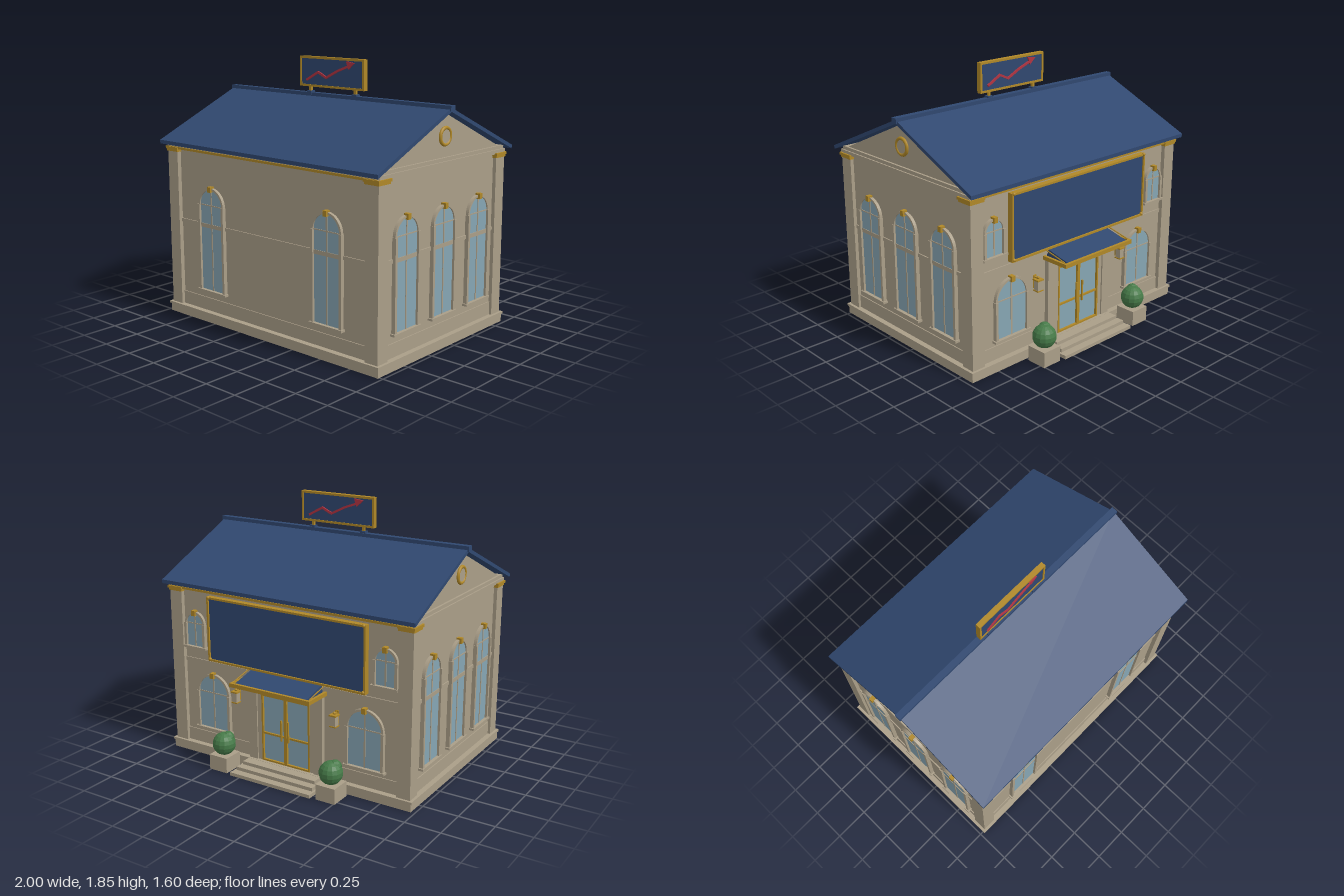
import * as THREE from 'three';

const mat = (name, color, flatShading = false) => {
  const m = new THREE.MeshStandardMaterial({ color, flatShading });
  m.name = name;
  return m;
};

export function createModel() {
  const stone = mat('stone', 0xaa9e88), blue = mat('navy', 0x304870), gold = mat('gold', 0xb08828);
  const glass = mat('glass', 0x86a5b3), red = mat('red', 0xb03442);
  const green = mat('leaf green', 0x467a48, true);
  const root = new THREE.Group();
  root.name = 'building';
  const C = 0.075; // z of the ridge and of the building's middle

  const add = (parent, name, geo, m, x = 0, y = 0, z = 0) => {
    const mesh = new THREE.Mesh(geo, m);
    mesh.name = name;
    mesh.position.set(x, y, z);
    parent.add(mesh);
    return mesh;
  };
  // box given by its limits
  const box = (p, name, m, x0, x1, y0, y1, z0, z1) =>
    add(p, name, new THREE.BoxGeometry(x1 - x0, y1 - y0, z1 - z0), m, (x0 + x1) / 2, (y0 + y1) / 2, (z0 + z1) / 2);
  const group = (name, parent = root) => {
    const g = new THREE.Group();
    g.name = name;
    parent.add(g);
    return g;
  };
  const polygon = pts => new THREE.Shape(pts.map(p => new THREE.Vector2(...p)));
  const extrude = (shape, depth) => new THREE.ExtrudeGeometry(shape, { depth, bevelEnabled: false, curveSegments: 16 });
  // prism along x from a (z, y) section
  const prismX = (pts, length) => extrude(polygon(pts), length).translate(0, 0, -length / 2).rotateY(-Math.PI / 2);
  // rectangular frame of bars
  const frame = (p, name, m, x0, x1, y0, y1, z0, z1, t) => {
    const s = polygon([[x0, y0], [x1, y0], [x1, y1], [x0, y1]]);
    s.holes.push(polygon([[x0 + t, y0 + t], [x0 + t, y1 - t], [x1 - t, y1 - t], [x1 - t, y0 + t]]));
    add(p, name, extrude(s, z1 - z0), m, 0, 0, z0);
  };

  // walls, plinth and mouldings
  box(root, 'plinth', stone, -0.972, 0.972, 0, 0.056, C - 0.69, C + 0.69);
  box(root, 'plinthCap', stone, -0.98, 0.98, 0.056, 0.072, C - 0.698, C + 0.698);
  box(root, 'walls', stone, -0.935, 0.935, 0.07, 1.23, C - 0.65, C + 0.65);
  box(root, 'dado', stone, -0.942, 0.942, 0.07, 0.165, C - 0.657, C + 0.657);
  box(root, 'stringCourse', stone, -0.943, 0.943, 0.68, 0.705, C - 0.658, C + 0.658);
  box(root, 'entablature', stone, -0.955, 0.955, 1.21, 1.265, C - 0.672, C + 0.672);
  box(root, 'corniceLip', stone, -0.965, 0.965, 1.222, 1.242, C - 0.682, C + 0.682);
  for (const s of [-1, 1]) {
    const z = C + s * 0.67;
    box(root, 'corniceStrip', gold, -0.95, 0.95, 1.205, 1.221, z - 0.014, z + 0.014);
    for (const t of [-1, 1]) {
      const px = t * 0.91, pz = C + s * 0.63;
      box(root, 'cornerPillar', stone, px - 0.05, px + 0.05, 0.07, 1.22, pz - 0.05, pz + 0.05);
      box(root, 'capital', gold, px - 0.056, px + 0.056, 1.185, 1.2, pz - 0.056, pz + 0.056);
      box(root, 'capitalTop', gold, px - 0.062, px + 0.062, 1.2, 1.218, pz - 0.062, pz + 0.062);
    }
  }

  // gable block and roof
  add(root, 'gable', prismX([[C - 0.63, 1.262], [C + 0.63, 1.262], [C, 1.548]], 1.88), stone);
  add(root, 'roof', prismX([[C - 0.725, 1.237], [C, 1.557], [C + 0.725, 1.237], [C + 0.725, 1.263],
    [C, 1.583], [C - 0.725, 1.263]], 1.98), blue);
  box(root, 'ridgeCap', blue, -1, 1, 1.562, 1.598, C - 0.022, C + 0.022);
  for (const s of [-1, 1]) {
    const o = group('gableRoundel');
    add(o, 'roundelRing', new THREE.TorusGeometry(0.054, 0.012, 8, 32), gold);
    add(o, 'roundelDisc', new THREE.CylinderGeometry(0.048, 0.048, 0.012, 32).rotateX(Math.PI / 2), stone);
    o.position.set(s * 0.945, 1.4, C);
    o.rotation.y = s * Math.PI / 2;
  }

  // arched window facing +z, standing on y0 with its arch springing at y1
  const arch = (r, y0, y1) => {
    const s = new THREE.Shape();
    s.moveTo(-r, y0);
    s.lineTo(r, y0);
    s.lineTo(r, y1);
    s.absarc(0, y1, r, 0, Math.PI, false);
    s.closePath();
    return s;
  };
  const archedWindow = (x, z, turn, r, y0, y1, bars) => {
    const w = group('archedWindow');
    add(w, 'pane', extrude(arch(r, y0, y1), 0.012), glass);
    const surround = arch(r + 0.015, y0, y1);
    surround.holes.push(arch(r, y0, y1));
    add(w, 'surround', extrude(surround, 0.022), stone);
    for (const s of [-1, 1])
      box(w, 'jamb', stone, s * (r + 0.009) - 0.01, s * (r + 0.009) + 0.01, y0, y1, 0, 0.028);
    box(w, 'sill', stone, -r - 0.03, r + 0.03, y0 - 0.015, y0, 0, 0.036);
    box(w, 'keystone', gold, -0.015, 0.015, y1 + r - 0.012, y1 + r + 0.026, 0, 0.036);
    box(w, 'mullion', stone, -0.005, 0.005, y0, y1 + r, 0.01, 0.016);
    for (const [y, t] of bars) box(w, 'glazingBar', stone, -r, r, y - t, y + t, 0.01, 0.016);
    w.position.set(x, 0, z);
    w.rotation.y = turn;
  };
  const tall = [[0.693, 0.014], [0.84, 0.004]];
  for (const s of [-1, 1]) {
    archedWindow(s * 0.535, C + 0.65, 0, 0.11, 0.23, 0.84, tall);
    for (const dz of [-0.39, 0, 0.39]) archedWindow(s * 0.935, C + dz, s * Math.PI / 2, 0.107, 0.23, 0.84, tall);
    archedWindow(s * 0.615, C - 0.65, Math.PI, 0.125, 0.21, 0.475, [[0.475, 0.004]]);
    archedWindow(s * 0.76, C - 0.65, Math.PI, 0.07, 0.8, 0.965, [[0.965, 0.004]]);
  }

  // entrance side, built facing +z and turned to the back
  const entry = group('entrance');
  entry.rotation.y = Math.PI;
  const W = 0.575; // wall plane
  box(entry, 'doorGlass', glass, -0.19, 0.19, 0.07, 0.62, W, W + 0.008);
  for (const s of [-1, 1]) {
    const a = Math.min(0, s * 0.195), b = a + 0.195;
    frame(entry, 'doorFrame', gold, a, b, 0.072, 0.56, W, W + 0.024, 0.012);
    box(entry, 'pushBar', gold, a + 0.01, b - 0.01, 0.27, 0.283, W, W + 0.02);
    box(entry, 'doorPull', gold, s * 0.028 - 0.005, s * 0.028 + 0.005, 0.25, 0.4, W + 0.024, W + 0.036);
    box(entry, 'doorPilaster', stone, s * 0.265 - 0.035, s * 0.265 + 0.035, 0.07, 0.64, W, W + 0.03);
    box(entry, 'doorJamb', stone, s * 0.212 - 0.018, s * 0.212 + 0.018, 0.07, 0.64, W, W + 0.02);
  }
  frame(entry, 'transomFrame', gold, -0.195, 0.195, 0.55, 0.63, W, W + 0.024, 0.01);
  [[0.325, 0.024, 0.8], [0.31, 0.048, 0.745], [0.295, 0.071, 0.69]].forEach(([x, y, z]) =>
    box(entry, 'step', stone, -x, x, 0, y, 0.5, z));

  // canopy: gold rim, flat soffit and sloping top
  for (const s of [-1, 1]) {
    box(entry, 'canopySide', gold, s * 0.31 - 0.01, s * 0.31 + 0.01, 0.643, 0.67, W, 0.785);
    const rod = new THREE.LineCurve3(new THREE.Vector3(s * 0.305, 0.71, 0.59), new THREE.Vector3(s * 0.305, 0.672, 0.76));
    add(entry, 'canopyRod', new THREE.TubeGeometry(rod, 1, 0.004, 6), gold);
  }
  box(entry, 'canopyFront', gold, -0.32, 0.32, 0.643, 0.67, 0.765, 0.785);
  box(entry, 'canopySoffit', blue, -0.3, 0.3, 0.648, 0.658, W, 0.766);
  add(entry, 'canopyTop', prismX([[W, 0.655], [0.766, 0.655], [0.766, 0.668], [W, 0.713]], 0.57), blue);

  // large fascia board with corner studs
  box(entry, 'fasciaBoard', blue, -0.62, 0.62, 0.73, 1.17, W, 0.606);
  frame(entry, 'fasciaFrame', gold, -0.63, 0.63, 0.722, 1.182, W, 0.617, 0.014);
  for (const x of [-0.615, 0.615]) for (const y of [0.737, 1.178])
    add(entry, 'stud', new THREE.SphereGeometry(0.012, 12, 8), gold, x, y, 0.615);

  for (const s of [-1, 1]) {
    // wall lantern
    const l = group('wallLantern', entry);
    l.position.set(s * 0.4, 0, 0.613);
    box(l, 'bracket', gold, -0.012, 0.012, 0.47, 0.56, -0.04, -0.03);
    box(l, 'bracketArm', gold, -0.006, 0.006, 0.54, 0.552, -0.04, 0);
    box(l, 'lanternBody', stone, -0.02, 0.02, 0.465, 0.535, -0.02, 0.02);
    box(l, 'lanternBase', gold, -0.024, 0.024, 0.458, 0.466, -0.024, 0.024);
    box(l, 'lanternCap', gold, -0.026, 0.026, 0.533, 0.543, -0.026, 0.026);
    add(l, 'finial', new THREE.SphereGeometry(0.01, 10, 8), gold, 0, 0.552, 0);
    // planter with clipped bush
    const p = group('planter', entry);
    p.position.set(s * 0.437, 0, 0.712);
    box(p, 'planterBox', stone, -0.073, 0.073, 0, 0.108, -0.075, 0.075);
    add(p, 'bush', new THREE.SphereGeometry(0.081, 14, 9), green, 0, 0.18, 0);
    add(p, 'bushTuft', new THREE.SphereGeometry(0.045, 10, 7), green, 0.02, 0.222, -0.018);
  }

  // roof sign with a rising arrow on both faces
  const sign = group('roofSign');
  sign.position.z = C + 0.003;
  box(sign, 'signPanel', blue, -0.28, 0.28, 1.65, 1.835, -0.013, 0.013);
  frame(sign, 'signFrame', gold, -0.292, 0.292, 1.638, 1.848, -0.018, 0.018, 0.015);
  for (const x of [-0.205, 0.205]) {
    box(sign, 'signPost', gold, x - 0.009, x + 0.009, 1.58, 1.645, -0.009, 0.009);
    box(sign, 'postFoot', blue, x - 0.02, x + 0.02, 1.58, 1.61, -0.02, 0.02);
  }
  const pts = [[-0.225, 1.685], [-0.12, 1.742], [-0.045, 1.708], [0.06, 1.76], [0.16, 1.797]];
  for (const turn of [0, Math.PI]) {
    const a = group('risingArrow', sign);
    a.rotation.y = turn;
    for (let i = 0; i < pts.length - 1; i++) {
      const [x0, y0] = pts[i], [x1, y1] = pts[i + 1];
      const bar = add(a, 'arrowBar', new THREE.BoxGeometry(Math.hypot(x1 - x0, y1 - y0) + 0.008, 0.015, 0.012), red,
        (x0 + x1) / 2, (y0 + y1) / 2, 0.018);
      bar.rotation.z = Math.atan2(y1 - y0, x1 - x0);
    }
    add(a, 'arrowHead', extrude(polygon([[0.158, 1.775], [0.21, 1.82], [0.138, 1.829]].map(([x, y]) => [x, y])), 0.012)
      .translate(-0.138, -1.829, 0).scale(1.0, 1.0, 1).translate(0.138, 1.829, 0), red, 0, 0, 0.012);
  }
  return root;
}
